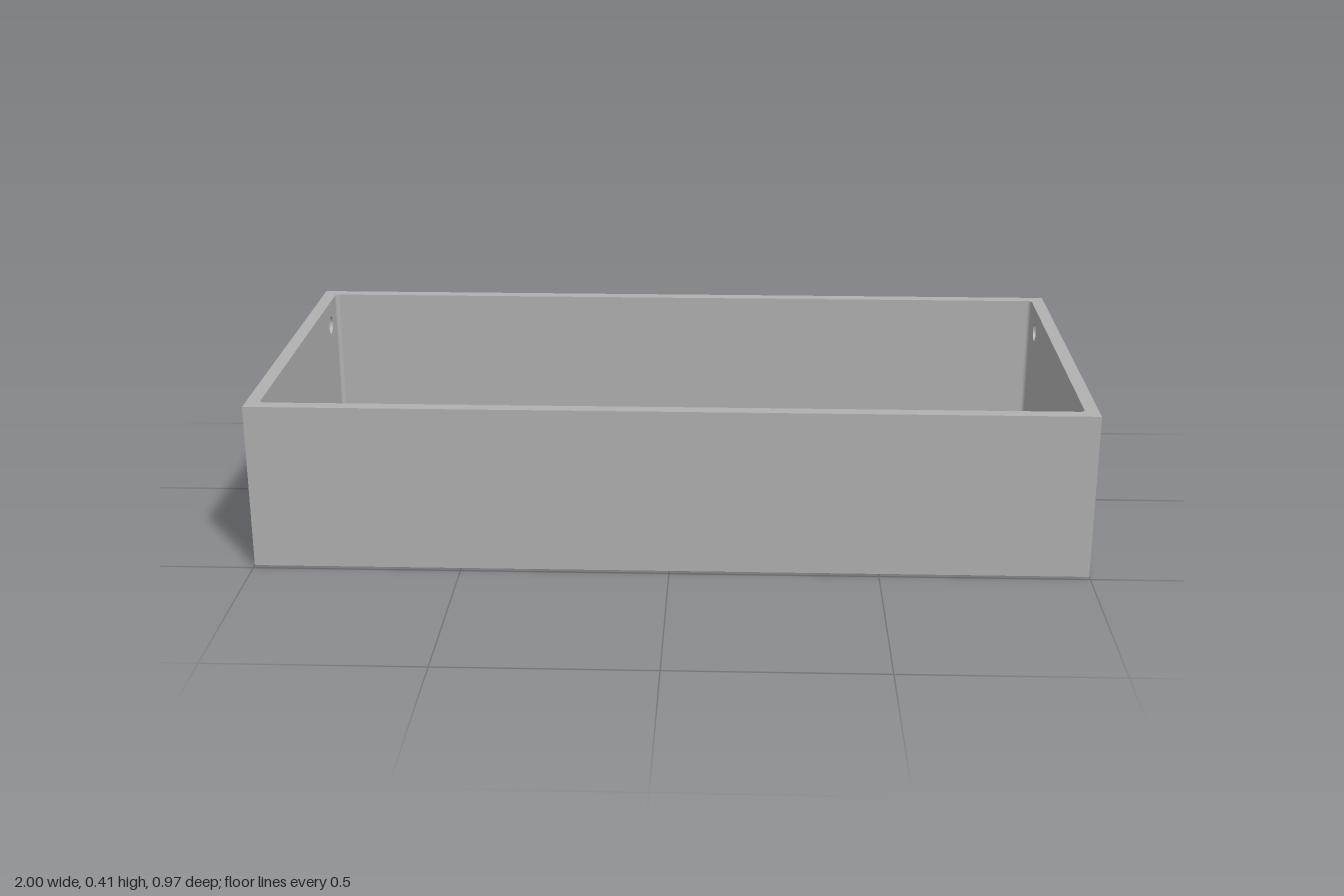
import * as THREE from 'three';

const W = 1, D = 0.485, H = 0.405;      // half length, half depth, height
const WALL = 0.033, FLOOR = 0.022, FILLET = 0.012;

function rectPath(x0, y0, x1, y1, Type = THREE.Path) {
  const p = new Type();
  p.moveTo(x0, y0);
  p.lineTo(x1, y0);
  p.lineTo(x1, y1);
  p.lineTo(x0, y1);
  p.closePath();
  return p;
}

function circlePath(x, y, r) {
  const p = new THREE.Path();
  p.absarc(x, y, r, 0, Math.PI * 2, true);
  return p;
}

function extrude(shape, depth) {
  return new THREE.ExtrudeGeometry(shape, { depth, bevelEnabled: false, curveSegments: 24 });
}

export function createModel() {
  const group = new THREE.Group();
  group.name = 'enclosure';
  const grey = new THREE.MeshStandardMaterial({ color: 0xb0b0b0 });
  grey.name = 'grey plastic';

  const add = (name, geometry) => {
    const mesh = new THREE.Mesh(geometry, grey);
    mesh.name = name;
    group.add(mesh);
    return mesh;
  };

  // Floor with four screw holes, a large window and a small slot
  const base = rectPath(-W, -D, W, D, THREE.Shape);
  for (const sx of [-1, 1]) for (const sz of [-1, 1]) {
    base.holes.push(circlePath(sx * 0.835, sz * 0.32, 0.025));
  }
  base.holes.push(rectPath(0.692, -0.257, 0.872, 0.257));
  base.holes.push(rectPath(-0.924, -0.04, -0.86, 0.04));
  add('floor', extrude(base, FLOOR).rotateX(-Math.PI / 2));

  // Long front and back walls
  const wallH = H - FLOOR;
  for (const s of [-1, 1]) {
    const wall = new THREE.BoxGeometry(2 * W, wallH, WALL);
    wall.translate(0, FLOOR + wallH / 2, s * (D - WALL / 2));
    add(s > 0 ? 'frontWall' : 'backWall', wall);
  }

  // End walls, each with two round holes near the rim
  const zIn = D - WALL, xIn = W - WALL;
  for (const s of [-1, 1]) {
    const end = rectPath(-zIn, FLOOR, zIn, H, THREE.Shape);
    for (const sz of [-1, 1]) end.holes.push(circlePath(sz * 0.37, 0.341, 0.024));
    const geometry = extrude(end, WALL).rotateY(Math.PI / 2);
    geometry.translate(s > 0 ? xIn : -W, 0, 0);
    add(s > 0 ? 'leftEndWall' : 'rightEndWall', geometry);
  }

  // Small rounded fillets in the inner corners
  const corner = new THREE.Shape();
  corner.moveTo(0, 0);
  corner.lineTo(FILLET, 0);
  corner.absarc(FILLET, FILLET, FILLET, -Math.PI / 2, -Math.PI, true);
  corner.closePath();
  const spots = [[-xIn, zIn, 0], [xIn, zIn, 1], [xIn, -zIn, 2], [-xIn, -zIn, 3]];
  for (const [x, z, turn] of spots) {
    const geometry = extrude(corner, wallH).rotateX(-Math.PI / 2);
    geometry.rotateY(turn * Math.PI / 2);
    geometry.translate(x, FLOOR, z);
    add('cornerFillet', geometry);
  }

  return group;
}
